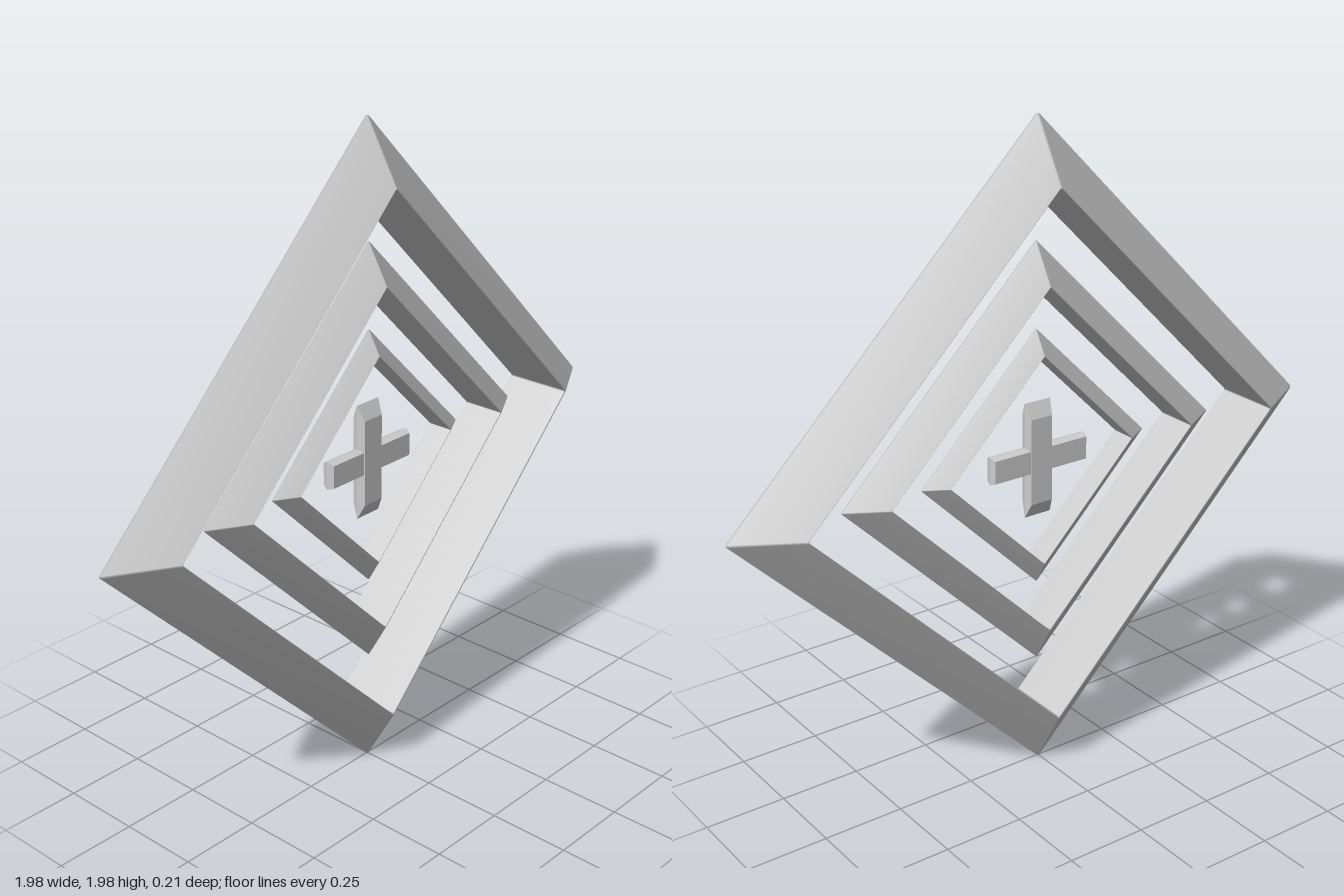
import * as THREE from 'three';

const material = new THREE.MeshStandardMaterial({ color: 0xcccccc, side: THREE.DoubleSide });

// Square ring standing on a corner: triangular section with slightly eased edges
function diamondRing(outer, inner) {
  const tube = (outer - inner) / 1.5;
  const depth = tube * 0.866;
  const tri = [[outer, 0], [inner, depth], [inner, -depth]];
  const ease = 0.025;
  const section = [];
  tri.forEach((p, k) => {
    for (const q of [tri[(k + 2) % 3], tri[(k + 1) % 3]]) {
      section.push([p[0] + (q[0] - p[0]) * ease, p[1] + (q[1] - p[1]) * ease]);
    }
  });

  // Two stations per corner make a tiny blunt edge along each mitre
  const corners = [[1, 0], [0, 1], [-1, 0], [0, -1]];
  const blunt = 0.004;
  const stations = [];
  corners.forEach((c, k) => {
    for (const q of [corners[(k + 3) % 4], corners[(k + 1) % 4]]) {
      stations.push([c[0] + (q[0] - c[0]) * blunt, c[1] + (q[1] - c[1]) * blunt]);
    }
  });

  const positions = [], index = [];
  const n = section.length, m = stations.length;
  for (let i = 0; i < m; i++) {
    for (let j = 0; j < n; j++) {
      const [u, z] = section[j];
      positions.push(stations[i][0] * u, stations[i][1] * u, z);
      const a = i * n + j, d = i * n + (j + 1) % n;
      const b = ((i + 1) % m) * n + j, c = ((i + 1) % m) * n + (j + 1) % n;
      index.push(a, b, c, a, c, d);
    }
  }
  const geometry = new THREE.BufferGeometry();
  geometry.setAttribute('position', new THREE.Float32BufferAttribute(positions, 3));
  geometry.setIndex(index);
  geometry.computeVertexNormals();
  return geometry;
}

// Flat bar, widest in its middle plane, chamfered toward front and back
function chamferedBar(width, height, depth, insetX, insetY) {
  const geometry = new THREE.BoxGeometry(width, height, depth, 1, 1, 2).toNonIndexed();
  const p = geometry.attributes.position;
  for (let i = 0; i < p.count; i++) {
    if (Math.abs(p.getZ(i)) < 1e-4) continue;
    p.setX(i, p.getX(i) - Math.sign(p.getX(i)) * insetX);
    p.setY(i, p.getY(i) - Math.sign(p.getY(i)) * insetY);
  }
  geometry.computeVertexNormals();
  return geometry;
}

export function createModel() {
  const group = new THREE.Group();
  const add = (name, geometry, x = 0) => {
    const mesh = new THREE.Mesh(geometry, material);
    mesh.name = name;
    mesh.position.set(x, 1, 0);
    group.add(mesh);
  };

  // Nested rings
  add('outerRing', diamondRing(1, 0.81));
  add('middleRing', diamondRing(0.649, 0.527), 0.006);
  add('innerRing', diamondRing(0.394, 0.32), 0.006);

  // Central cross
  add('crossUpright', chamferedBar(0.09, 0.352, 0.044, 0.009, 0.045), 0.002);
  add('crossArm', chamferedBar(0.336, 0.085, 0.04, 0.007, 0.008), 0.001);
  return group;
}
